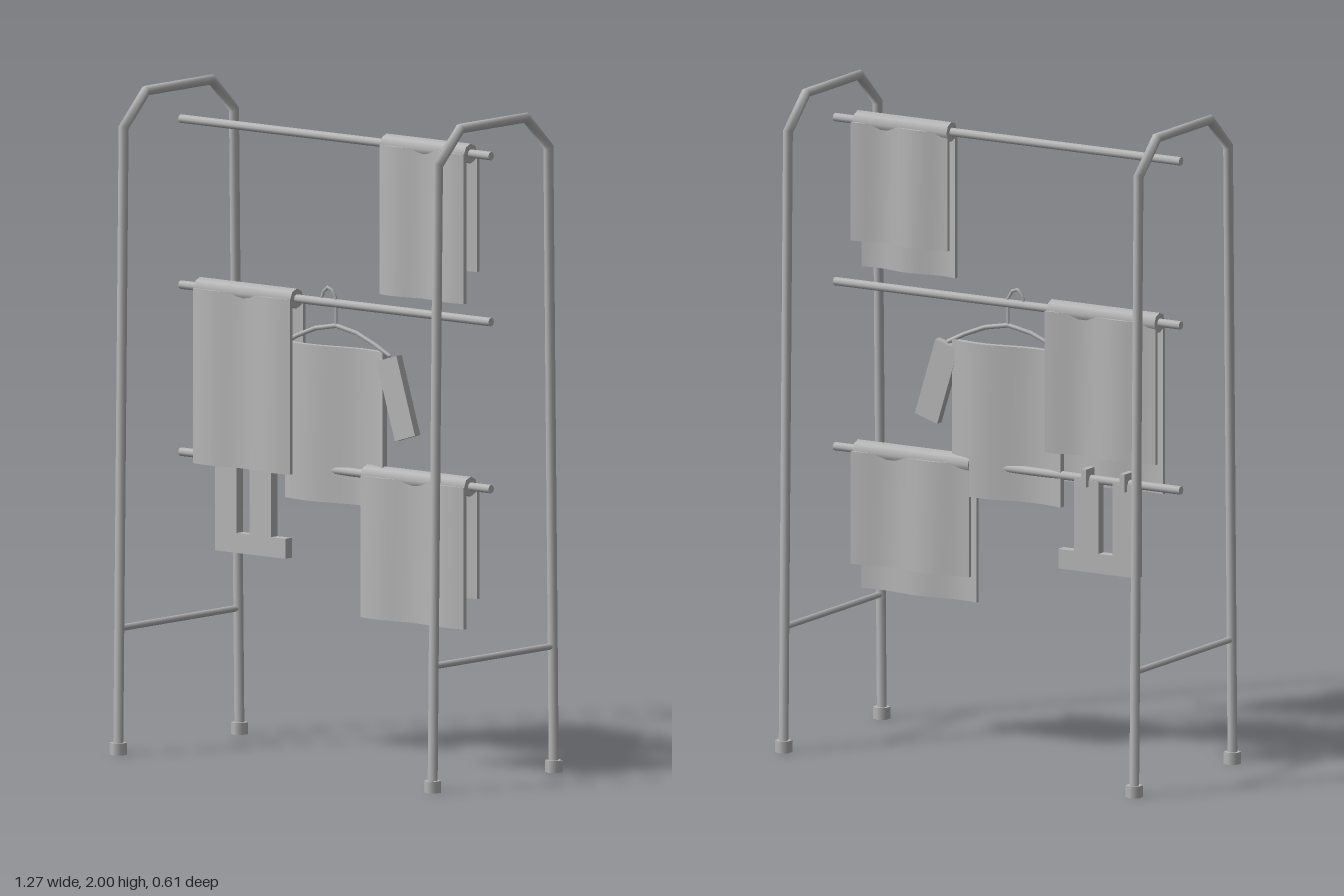
import * as THREE from 'three';

const grey = new THREE.MeshStandardMaterial({ color: 0xb8b8b8 });
grey.name = 'grey';

function add(parent, name, geometry, x = 0, y = 0, z = 0) {
  const mesh = new THREE.Mesh(geometry, grey);
  mesh.name = name;
  mesh.position.set(x, y, z);
  parent.add(mesh);
  return mesh;
}

// Mitred tube along a flat path of [a, b] points in the XY plane
function sweep(path, radius, sides = 8) {
  const pts = path.map(([a, b]) => new THREE.Vector2(a, b));
  const pos = [], index = [];
  const last = pts.length - 1;
  pts.forEach((p, i) => {
    const d0 = pts[Math.max(i, 1)].clone().sub(pts[Math.max(i, 1) - 1]).normalize();
    const j = Math.min(i, last - 1);
    const d1 = pts[j + 1].clone().sub(pts[j]).normalize();
    const t = d0.clone().add(d1).normalize();
    const stretch = radius / t.dot(d1);
    for (let k = 0; k < sides; k++) {
      const a = (k / sides) * Math.PI * 2;
      const n = Math.cos(a) * stretch;
      pos.push(p.x - t.y * n, p.y + t.x * n, Math.sin(a) * radius);
      const a0 = i * sides + k, a1 = i * sides + (k + 1) % sides;
      if (i < last) index.push(a0, a1, a0 + sides, a1, a1 + sides, a0 + sides);
    }
  });
  // end caps
  for (let k = 1; k < sides - 1; k++) {
    const e = last * sides;
    index.push(0, k + 1, k, e, e + k, e + k + 1);
  }
  const g = new THREE.BufferGeometry();
  g.setAttribute('position', new THREE.Float32BufferAttribute(pos, 3));
  g.setIndex(index);
  g.computeVertexNormals();
  return g;
}

// Thin slab rippled in z along its width
function wavySheet(w, h, t, wave) {
  const g = new THREE.BoxGeometry(w, h, t, 14, 1, 1);
  const p = g.attributes.position;
  for (let i = 0; i < p.count; i++) p.setZ(i, p.getZ(i) + wave(p.getX(i) / w + 0.5));
  g.computeVertexNormals();
  return g;
}

const rod = (r, length, sides) => new THREE.CylinderGeometry(r, r, length, sides);

function towel(x0, x1, railY, frontY, backY) {
  const group = new THREE.Group();
  group.name = 'towel';
  const w = x1 - x0, x = (x0 + x1) / 2;
  add(group, 'towelFold', rod(0.03, w, 8), x, railY, 0).rotation.z = Math.PI / 2;
  const front = wavySheet(w, railY - frontY, 0.012, u => 0.008 * Math.sin(3 * Math.PI * u));
  add(group, 'towelFront', front, x, (railY + frontY) / 2, 0.026);
  const back = wavySheet(w, railY - backY, 0.012, u => -0.009 * Math.sin(3 * Math.PI * u - 1.7));
  add(group, 'towelBack', back, x, (railY + backY) / 2, -0.026);
  return group;
}

function shirtOnHanger() {
  const group = new THREE.Group();
  group.name = 'shirtOnHanger';
  add(group, 'hangerHook', sweep([[0, 1.315], [0, 1.4], [-0.015, 1.424], [-0.033, 1.43],
    [-0.049, 1.416], [-0.056, 1.395]], 0.005, 6));
  add(group, 'hangerArms', sweep([[-0.21, 1.245], [-0.15, 1.275], [-0.08, 1.303], [0, 1.318],
    [0.08, 1.303], [0.15, 1.275], [0.21, 1.245]], 0.007, 6));
  add(group, 'shirtBody', wavySheet(0.38, 0.47, 0.02, u => 0.014 * Math.sin(2 * Math.PI * u)), 0, 1.02, 0);
  for (const s of [1, -1]) {
    const sleeve = add(group, 'sleeve', new THREE.BoxGeometry(0.082, 0.245, 0.025), s * 0.243, 1.122, 0);
    sleeve.rotation.z = s * 0.3;
  }
  return group;
}

function sock(x) {
  const group = new THREE.Group();
  group.name = 'sock';
  const shape = new THREE.Shape([[0, 0.6], [0.14, 0.6], [0.14, 0.66], [0.085, 0.66], [0.085, 0.88], [0, 0.88]]
    .map(([a, b]) => new THREE.Vector2(a, b)));
  add(group, 'sockBody', new THREE.ExtrudeGeometry(shape, { depth: 0.03, bevelEnabled: false }), x, 0, -0.015);
  add(group, 'peg', new THREE.BoxGeometry(0.018, 0.055, 0.06), x + 0.043, 0.888, 0);
  return group;
}

export function createModel() {
  const model = new THREE.Group();
  model.name = 'dryingRack';

  // End frames with feet and lower crossbars
  for (const s of [1, -1]) {
    const end = new THREE.Group();
    end.name = 'endFrame';
    end.position.x = s * 0.613;
    const arch = sweep([[-0.28, 0.01], [-0.255, 1.885], [-0.152, 1.985], [0.152, 1.985],
      [0.255, 1.885], [0.28, 0.01]], 0.015);
    add(end, 'arch', arch).rotation.y = Math.PI / 2;
    add(end, 'crossbar', rod(0.01, 0.54, 8), 0, 0.38, 0).rotation.x = Math.PI / 2;
    for (const z of [0.28, -0.28]) add(end, 'foot', rod(0.026, 0.036, 6), 0, 0.018, z);
    model.add(end);
  }

  // Hanging rails
  for (const y of [1.885, 1.385, 0.882]) add(model, 'rail', rod(0.013, 1.21, 8), 0, y, 0).rotation.z = Math.PI / 2;

  // Laundry
  model.add(towel(0.197, 0.525, 1.885, 1.435, 1.525));
  model.add(towel(-0.53, -0.153, 1.385, 0.858, 0.955));
  model.add(towel(0.122, 0.525, 0.882, 0.455, 0.54));
  model.add(shirtOnHanger());
  for (const x of [-0.46, -0.325]) model.add(sock(x));
  return model;
}
